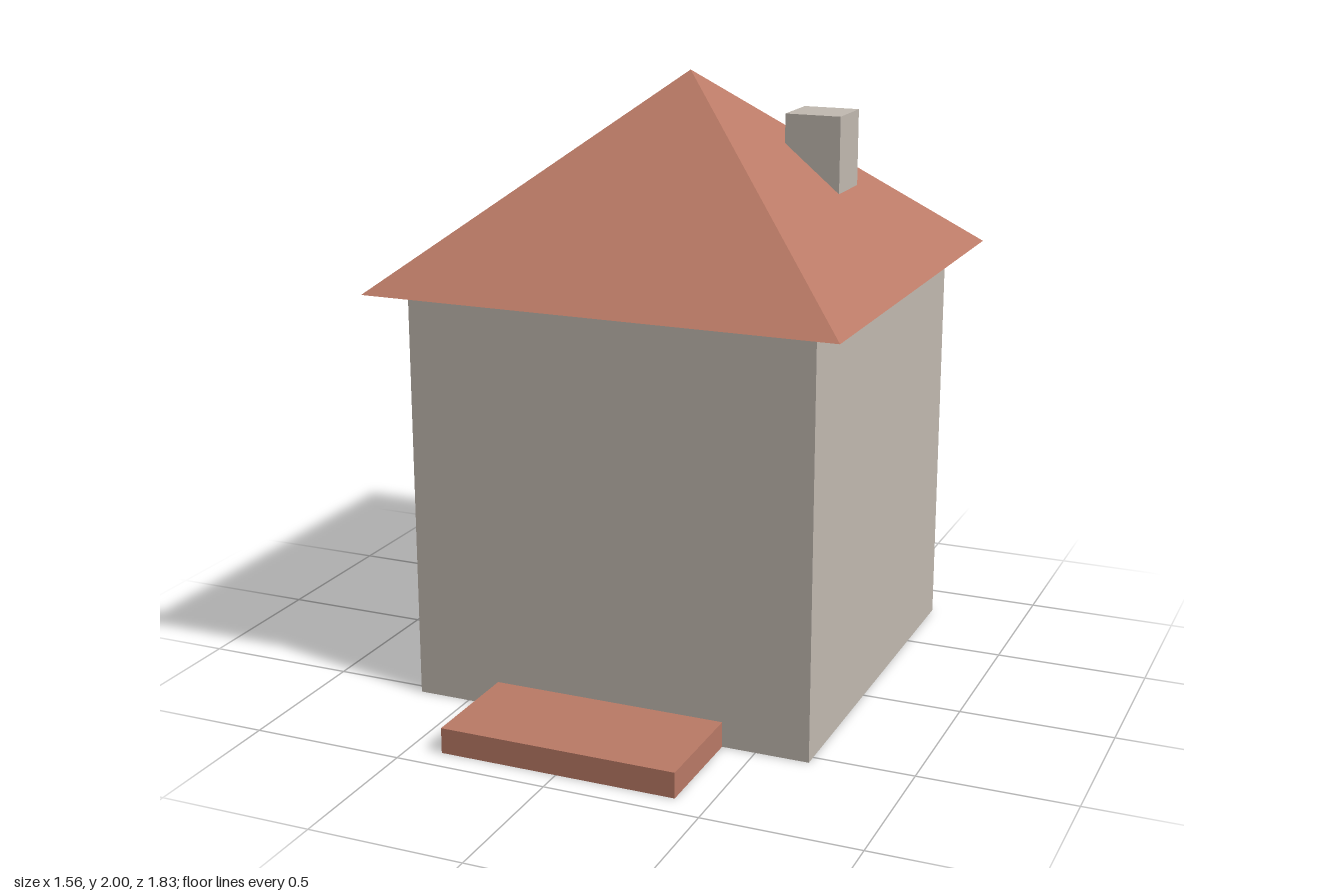
import * as THREE from 'three';

export function createModel() {
  const house = new THREE.Group();
  house.name = 'house';

  const plaster = new THREE.MeshStandardMaterial({ color: 0xc2bab1, flatShading: true });
  plaster.name = 'warm grey plaster';
  const terracotta = new THREE.MeshStandardMaterial({ color: 0xba7a66, flatShading: true });
  terracotta.name = 'terracotta';

  const add = (name, geometry, material, x, y, z) => {
    const mesh = new THREE.Mesh(geometry, material);
    mesh.name = name;
    mesh.position.set(x, y, z);
    house.add(mesh);
    return mesh;
  };

  // box given by its lower and upper corners
  const addBox = (name, material, [x0, y0, z0], [x1, y1, z1]) =>
    add(name, new THREE.BoxGeometry(x1 - x0, y1 - y0, z1 - z0), material,
      (x0 + x1) / 2, (y0 + y1) / 2, (z0 + z1) / 2);

  const eaves = 1.355, ridge = 2, centreZ = -0.135;

  // walls
  addBox('walls', plaster, [-0.675, 0, centreZ - 0.675], [0.675, eaves, centreZ + 0.675]);

  // four-sided roof with overhanging eaves and a closed underside
  const roof = new THREE.ConeGeometry(0.78 * Math.SQRT2, ridge - eaves, 4);
  roof.rotateY(Math.PI / 4);
  add('roof', roof, terracotta, 0, (eaves + ridge) / 2, centreZ);

  // chimney, its foot buried in the roof
  addBox('chimney', plaster, [0.285, 1.5, -0.432], [0.472, 1.86, -0.245]);

  // front doorstep
  addBox('doorstep', terracotta, [-0.39, 0, centreZ + 0.675], [0.39, 0.083, 0.917]);

  return house;
}
